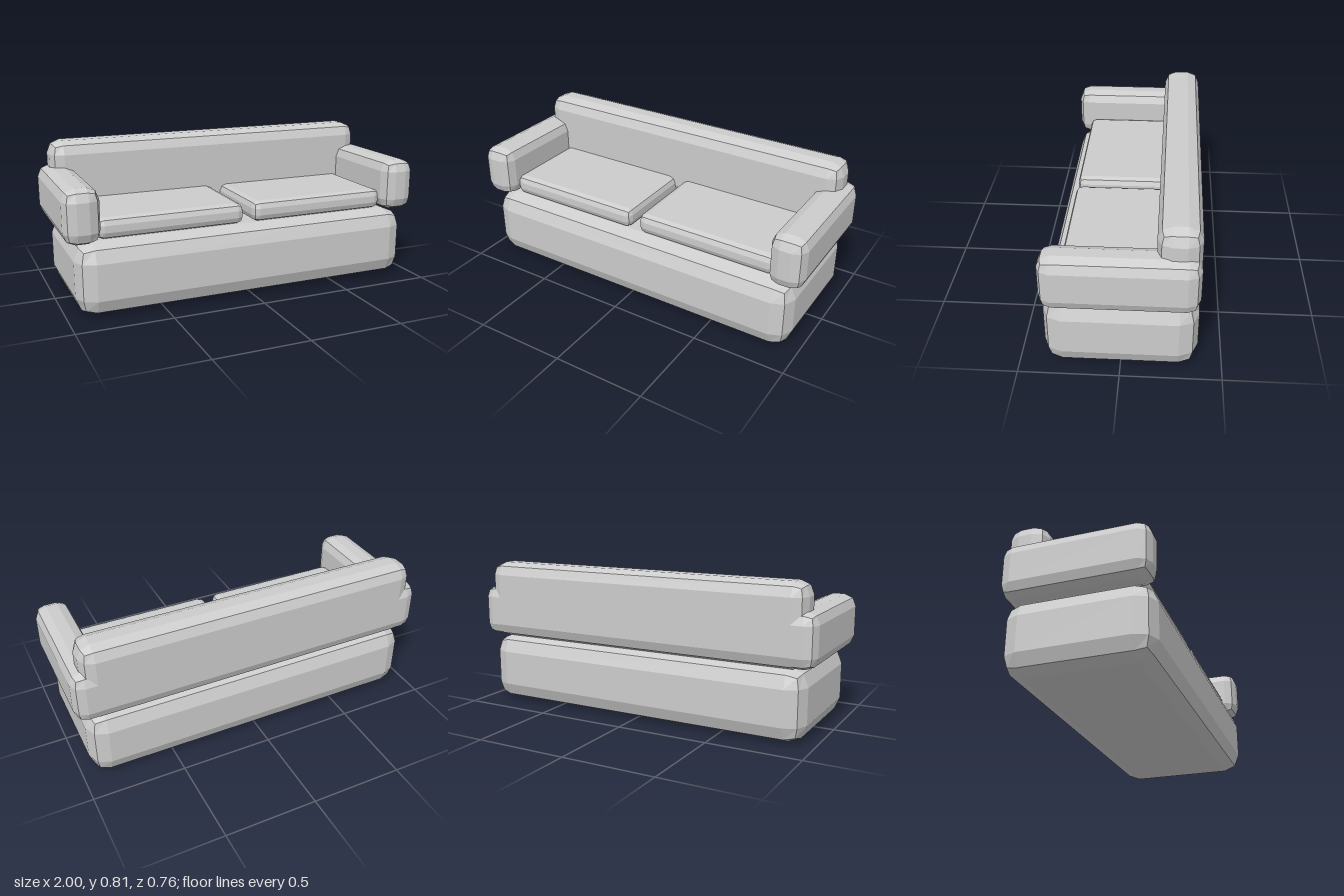
import * as THREE from 'three';
import { RoundedBoxGeometry } from 'three/addons/geometries/RoundedBoxGeometry.js';

const fabric = new THREE.MeshStandardMaterial({ color: 0xcccccc });
fabric.name = 'grey fabric';

// Box with two-step faceted bevels, given by its extents on each axis
function softBlock(name, [x0, x1], [y0, y1], [z0, z1], radius) {
  const geometry = new RoundedBoxGeometry(x1 - x0, y1 - y0, z1 - z0, 1, radius);
  geometry.computeVertexNormals(); // unshared corners give flat facets
  const mesh = new THREE.Mesh(geometry, fabric);
  mesh.name = name;
  mesh.position.set((x0 + x1) / 2, (y0 + y1) / 2, (z0 + z1) / 2);
  return mesh;
}

export function createModel() {
  const sofa = new THREE.Group();
  sofa.name = 'sofa';

  // Base and backrest
  sofa.add(softBlock('base', [-0.947, 0.947], [0, 0.382], [-0.38, 0.38], 0.095));
  sofa.add(softBlock('backrest', [-0.945, 0.945], [0.376, 0.805], [-0.38, -0.17], 0.07));

  // Mirrored arms and seat cushions
  for (const [side, s] of [['left', 1], ['right', -1]]) {
    const span = (a, b) => (s > 0 ? [a, b] : [-b, -a]);
    sofa.add(softBlock(side + 'Arm', span(0.812, 1), [0.382, 0.667], [-0.38, 0.38], 0.063));
    sofa.add(softBlock(side + 'SeatCushion', span(0.027, 0.825), [0.384, 0.495], [-0.24, 0.305], 0.037));
  }
  return sofa;
}
